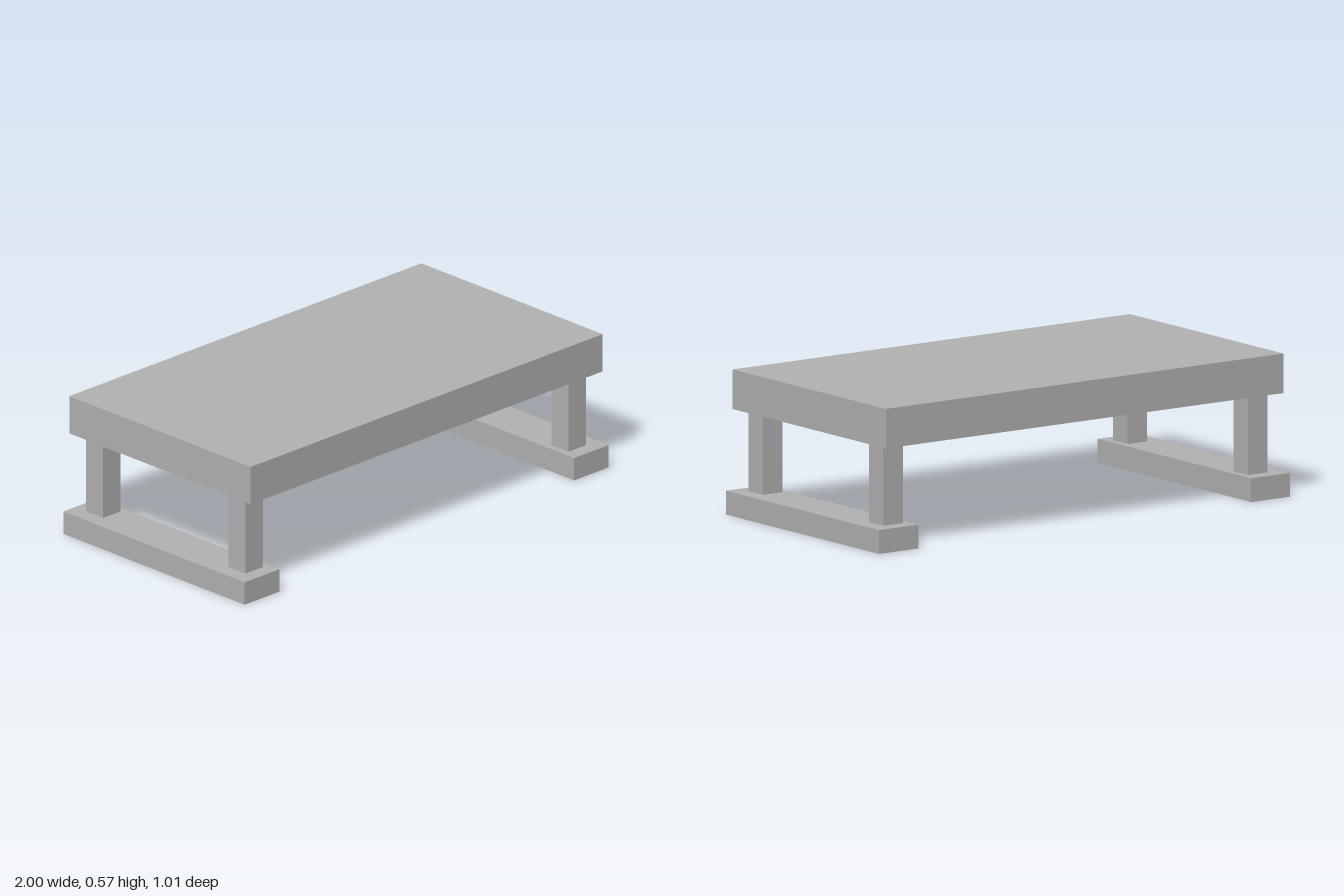
import * as THREE from 'three';

export function createModel() {
  const model = new THREE.Group();
  const grey = new THREE.MeshStandardMaterial({ color: 0xb2b2b2 });
  grey.name = 'plain grey';

  // Box given by its size, centre in x and z, and bottom height
  const addBox = (name, [w, h, d], x, bottom, z) => {
    const mesh = new THREE.Mesh(new THREE.BoxGeometry(w, h, d), grey);
    mesh.name = name;
    mesh.position.set(x, bottom + h / 2, z);
    model.add(mesh);
  };

  const depth = 1.014, footHeight = 0.095, topBottom = 0.417;

  // Thick slab top
  addBox('tableTop', [1.934, 0.158, depth], 0, topBottom, 0);

  // A runner foot with two square legs at each end
  for (const [side, sx] of [['left', 1], ['right', -1]]) {
    addBox(side + 'Foot', [0.19, footHeight, depth], sx * 0.905, 0, 0);
    for (const [end, sz] of [['Front', 1], ['Back', -1]]) {
      addBox(side + end + 'Leg', [0.095, topBottom - footHeight, 0.095],
        sx * 0.887, footHeight, sz * 0.398);
    }
  }
  return model;
}
